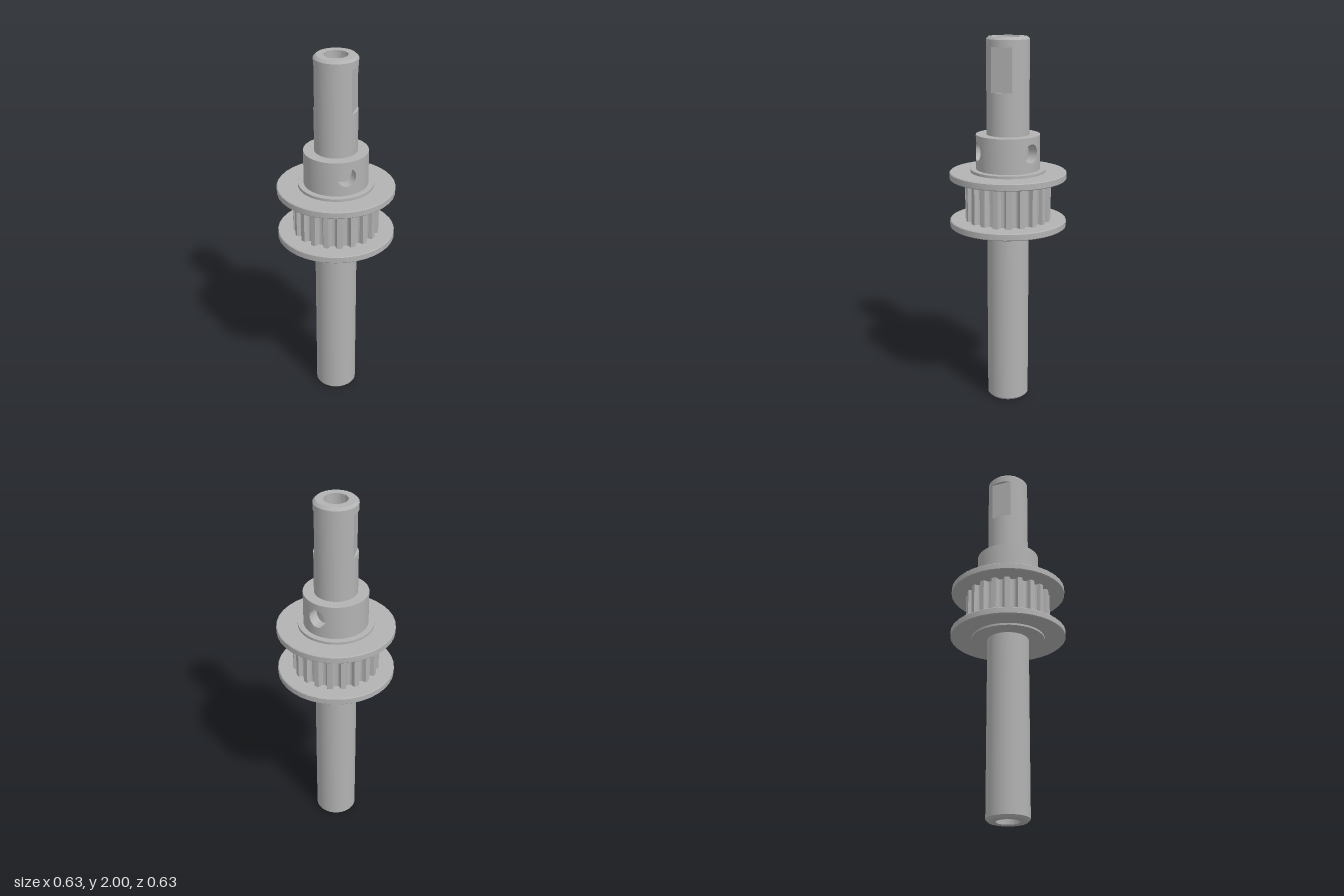
import * as THREE from 'three';
import { toCreasedNormals, mergeGeometries } from 'three/addons/utils/BufferGeometryUtils.js';

const steel = new THREE.MeshStandardMaterial({ color: 0xb2b2b2 });
steel.name = 'steel grey';

const SHAFT_R = 0.113;
const COLLAR_R = 0.17, COLLAR_Y0 = 1.305, COLLAR_Y1 = 1.495;

// point on a cylinder around y; angle is measured from +z towards +x
const polar = (r, a, y) => [r * Math.sin(a), y, r * Math.cos(a)];

// skin a surface through closed loops of equal length
function skin(loops) {
  const n = loops[0].length, index = [];
  for (let i = 0; i < loops.length - 1; i++) {
    for (let j = 0; j < n; j++) {
      const k = (j + 1) % n;
      const a = i * n + j, b = a + n, c = (i + 1) * n + k, d = i * n + k;
      index.push(a, b, c, a, c, d);
    }
  }
  const g = new THREE.BufferGeometry();
  g.setAttribute('position', new THREE.Float32BufferAttribute(loops.flat(2), 3));
  g.setIndex(index);
  return g.toNonIndexed();
}

// turned surface, optionally only an arc of it
function turned(profile, segments = 36, start = 0, length = Math.PI * 2) {
  const g = new THREE.LatheGeometry(profile.map(p => new THREE.Vector2(...p)), segments, start, length);
  g.deleteAttribute('uv');
  g.deleteAttribute('normal');
  return g.toNonIndexed();
}

function part(name, geometry, crease = 0.4) {
  const mesh = new THREE.Mesh(toCreasedNormals(geometry, crease), steel);
  mesh.name = name;
  return mesh;
}

// shaft with chamfered ends, drilled ends and two opposite wrench flats
function shaftGeometry() {
  const n = 48, flatAngle = THREE.MathUtils.degToRad(114);
  const flatDistance = SHAFT_R * Math.cos(Math.PI / 6);
  const ring = (y, r, flat) => Array.from({ length: n }, (_, j) => {
    const a = j / n * Math.PI * 2;
    const limit = flat ? flatDistance / Math.max(Math.abs(Math.cos(a)), 1e-6) : Infinity;
    return polar(Math.min(r, limit), a + flatAngle, y);
  });
  const R = SHAFT_R;
  return skin([
    ring(1.67, 0), ring(1.705, 0.061), ring(2, 0.061), ring(2, 0.1), ring(1.987, R),
    ring(1.95, R), ring(1.95, R, true), ring(1.72, R, true), ring(1.72, R),
    ring(0.013, R), ring(0, 0.1), ring(0, 0.061), ring(0.295, 0.061), ring(0.33, 0),
  ]);
}

// piece of collar wall with a round screw hole through to the shaft
function holePanel(angle, halfAngle) {
  const n = 32, steps = 5, holeR = 0.05, holeY = 1.41;
  const midY = (COLLAR_Y0 + COLLAR_Y1) / 2, halfY = (COLLAR_Y1 - COLLAR_Y0) / 2;
  const ts = Array.from({ length: n }, (_, j) => j / n * Math.PI * 2);
  const edge = r => ts.map(t =>
    polar(r, angle + Math.asin(holeR * Math.cos(t) / r), holeY + holeR * Math.sin(t)));
  const loops = [edge(SHAFT_R - 0.002), edge(COLLAR_R)];
  for (let i = 1; i <= steps; i++) {
    const s = i / steps;
    loops.push(ts.map(t => {
      const c = Math.cos(t), q = Math.sin(t), m = Math.max(Math.abs(c), Math.abs(q));
      const a0 = Math.asin(holeR * c / COLLAR_R), y0 = holeY + holeR * q;
      const a1 = halfAngle * c / m, y1 = midY + halfY * q / m;
      return polar(COLLAR_R, angle + a0 + (a1 - a0) * s, y0 + (y1 - y0) * s);
    }));
  }
  return skin(loops);
}

// collar: two drilled panels, the plain arcs between them and the top face
function collarGeometry() {
  const half = Math.PI / 8, h1 = Math.PI / 3, h2 = Math.PI;
  const wall = [[COLLAR_R, COLLAR_Y0], [COLLAR_R, COLLAR_Y1]];
  const arc = (from, to) => turned(wall, Math.round((to - from) / 0.13), from, to - from);
  const pieces = [
    holePanel(h1, half), holePanel(h2, half),
    arc(h1 + half, h2 - half), arc(h2 + half, h1 + Math.PI * 2 - half),
    turned([[COLLAR_R, COLLAR_Y1], [SHAFT_R - 0.003, COLLAR_Y1]], 48),
  ];
  pieces.forEach(g => g.deleteAttribute('normal'));
  return mergeGeometries(pieces);
}

// toothed belt drum with rounded grooves
function drumGeometry() {
  const teeth = 20, R = 0.23, y0 = 1.03, y1 = 1.26;
  const groove = [[-0.1, 0], [-0.088, 0.008], [-0.075, 0.02], [-0.045, 0.027],
    [0, 0.029], [0.045, 0.027], [0.075, 0.02], [0.088, 0.008], [0.1, 0], [Math.PI / teeth, 0]];
  const points = [];
  for (let i = 0; i < teeth; i++) {
    for (const [da, depth] of groove) {
      const a = i / teeth * Math.PI * 2 + da, r = R - depth;
      points.push(new THREE.Vector2(r * Math.sin(a), r * Math.cos(a)));
    }
  }
  const g = new THREE.ExtrudeGeometry(new THREE.Shape(points), { depth: y1 - y0, bevelEnabled: false });
  g.rotateX(-Math.PI / 2);
  g.translate(0, y0, 0);
  return g;
}

// solid disc with a small edge bevel
const disc = (r, y0, y1, b = 0.004) => turned([
  [0, y0], [r - b, y0], [r, y0 + b], [r, y1 - b], [r - b, y1], [0, y1],
]);

export function createModel() {
  const model = new THREE.Group();
  model.name = 'pulleyOnShaft';

  model.add(part('shaft', shaftGeometry()));

  const pulley = new THREE.Group();
  pulley.name = 'timingPulley';
  pulley.add(
    part('lowerBoss', disc(0.2, 0.985, 1.0, 0.001)),
    part('lowerFlange', disc(0.313, 0.997, 1.035)),
    part('toothedDrum', drumGeometry()),
    part('upperFlange', disc(0.313, 1.257, 1.295)),
    part('upperBoss', disc(0.2, 1.29, 1.31, 0.001)),
    part('clampCollar', collarGeometry()),
  );
  model.add(pulley);
  return model;
}
